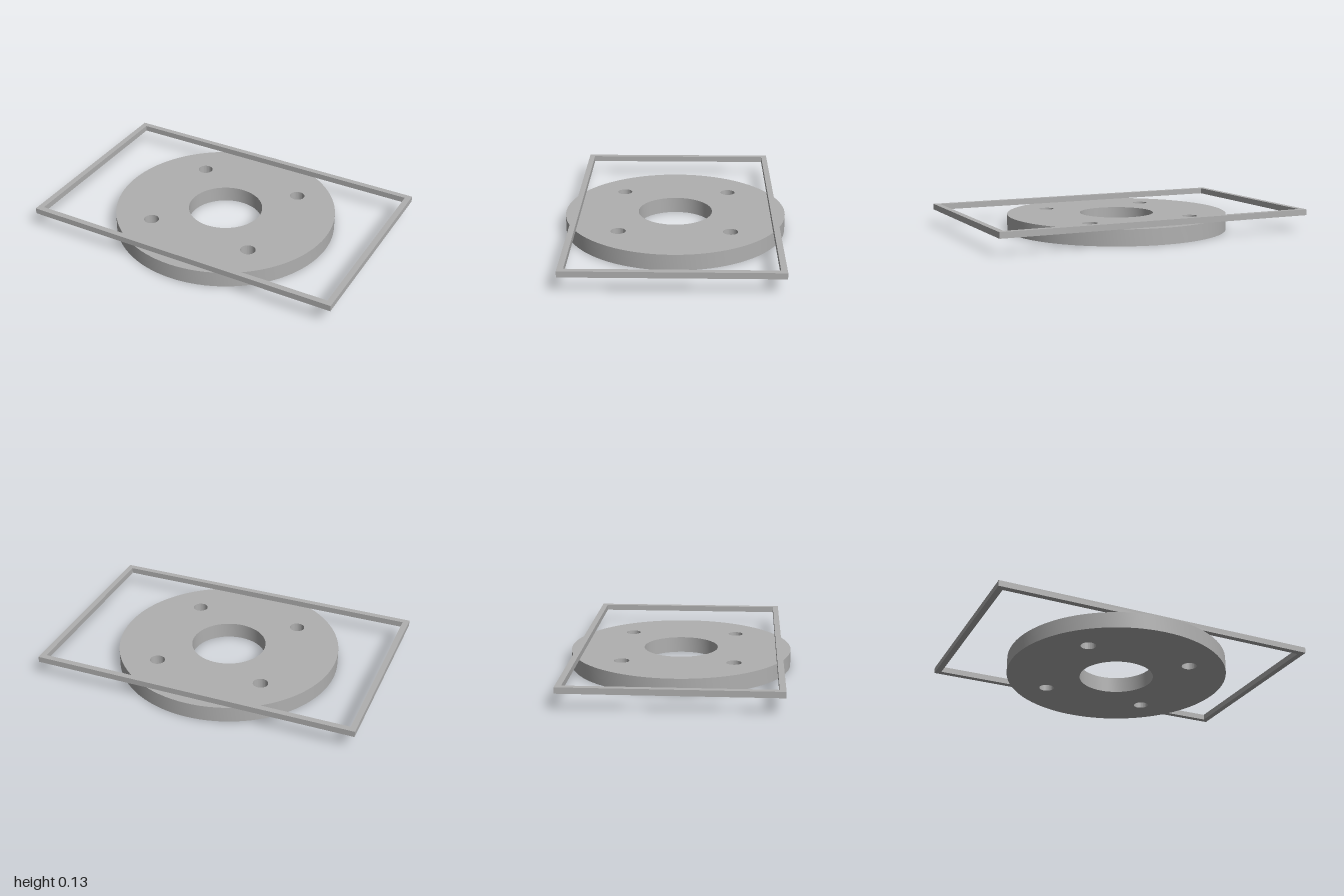
import * as THREE from 'three';
import { toCreasedNormals } from 'three/addons/utils/BufferGeometryUtils.js';

const DISC_HEIGHT = 0.098;
const FRAME_HEIGHT = 0.036;

// Circular outline or hole
function circle(Type, x, y, radius) {
  const path = new Type();
  path.absarc(x, y, radius, 0, Math.PI * 2, false);
  return path;
}

// Rectangle centred on the origin
function rectangle(Type, halfX, halfZ) {
  return new Type([
    new THREE.Vector2(-halfX, -halfZ),
    new THREE.Vector2(halfX, -halfZ),
    new THREE.Vector2(halfX, halfZ),
    new THREE.Vector2(-halfX, halfZ),
  ]);
}

// Flat plate lying in the xz plane, raised from baseY by height
function plate(name, shape, height, baseY, material) {
  let geometry = new THREE.ExtrudeGeometry(shape, {
    depth: height, bevelEnabled: false, curveSegments: 48,
  });
  geometry.rotateX(-Math.PI / 2);
  geometry.translate(0, baseY, 0);
  geometry = toCreasedNormals(geometry, Math.PI / 6);
  const mesh = new THREE.Mesh(geometry, material);
  mesh.name = name;
  return mesh;
}

export function createModel() {
  const group = new THREE.Group();
  group.name = 'flangeWithFrame';
  const grey = new THREE.MeshStandardMaterial({ color: 0xb0b0b0 });
  grey.name = 'grey metal';

  // Disc with a central bore and four bolt holes
  const disc = circle(THREE.Shape, 0, 0, 0.685);
  disc.holes.push(circle(THREE.Path, 0, 0, 0.23));
  for (const x of [-0.337, 0.337]) {
    for (const z of [-0.337, 0.337]) disc.holes.push(circle(THREE.Path, x, z, 0.046));
  }
  group.add(plate('flangeDisc', disc, DISC_HEIGHT, 0, grey));

  // Thin rectangular frame resting on the disc
  const frame = rectangle(THREE.Shape, 1, 0.628);
  frame.holes.push(rectangle(THREE.Path, 0.964, 0.592));
  group.add(plate('rectangularFrame', frame, FRAME_HEIGHT, DISC_HEIGHT, grey));

  return group;
}
